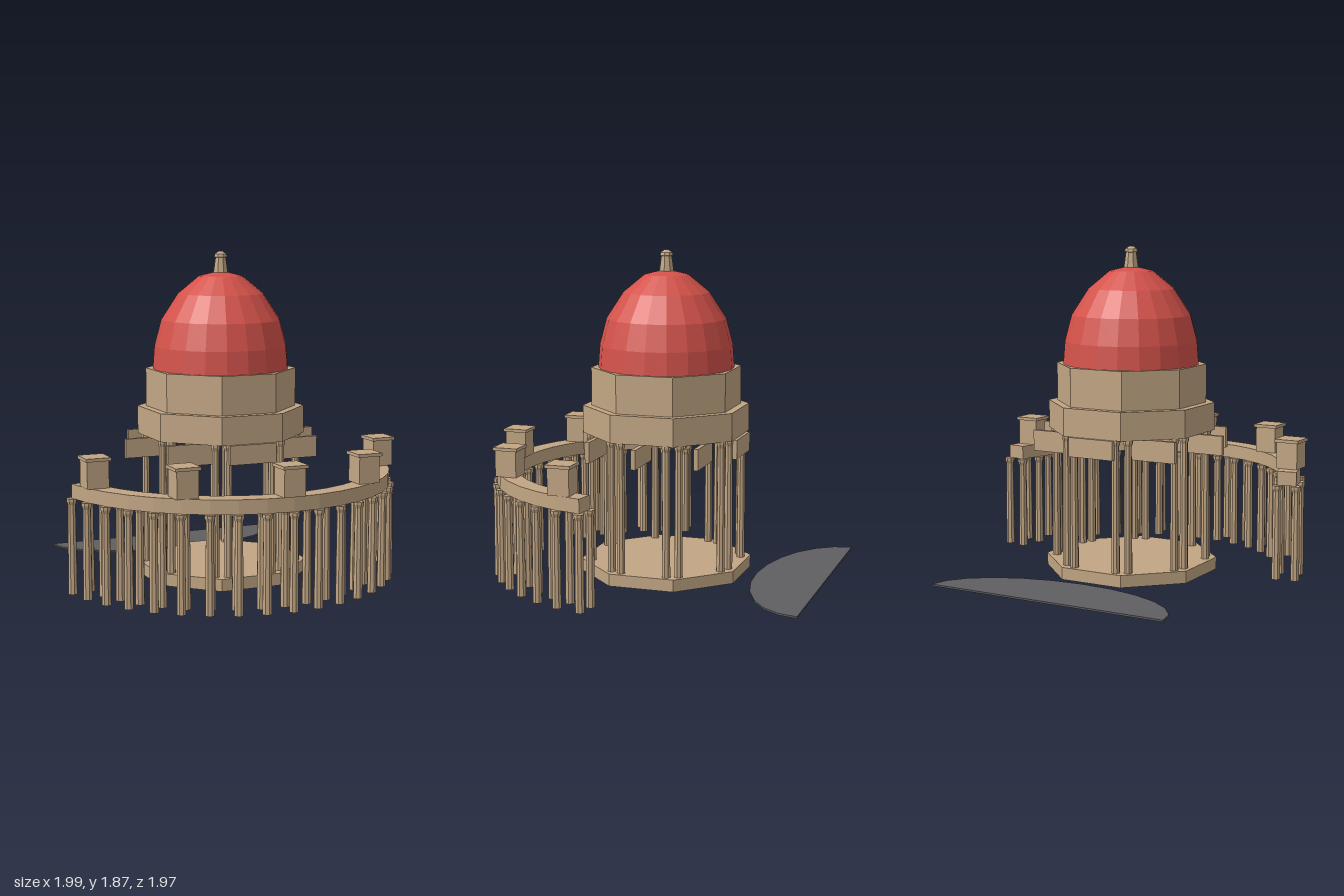
import * as THREE from 'three';

const flat = (name, color) => {
  const m = new THREE.MeshStandardMaterial({ color, flatShading: true });
  m.name = name;
  return m;
};

export function createModel() {
  const stone = flat('sandstone', 0xc2a684);
  const red = flat('domeRed', 0xd4524a);
  const water = flat('pondGrey', 0x5f5f62);

  const model = new THREE.Group();
  model.name = 'domedRotunda';
  const CZ = -0.03; // shared centre of rotunda and colonnade

  const add = (parent, name, geometry, material, x = 0, y = 0, z = 0) => {
    const mesh = new THREE.Mesh(geometry, material);
    mesh.name = name;
    mesh.position.set(x, y, z);
    parent.add(mesh);
    return mesh;
  };
  const group = (name) => {
    const g = new THREE.Group();
    g.name = name;
    g.position.z = CZ;
    model.add(g);
    return g;
  };
  const lathe = (points, sides) =>
    new THREE.LatheGeometry(points.map(([r, y]) => new THREE.Vector2(r, y)), sides);

  // Column with a tapered shaft and a flared capital
  const columnGeometry = (h, r) => lathe([
    [0, 0], [r * 1.08, 0], [r * 0.92, h - 0.035], [r * 1.22, h - 0.015], [r * 1.22, h], [0, h],
  ], 8);

  // Flat plate from a plan outline, top face at y
  const plate = (points, y, thickness) => {
    const g = new THREE.ExtrudeGeometry(new THREE.Shape(points), { depth: thickness, bevelEnabled: false });
    g.rotateX(Math.PI / 2);
    g.translate(0, y, 0);
    return g;
  };

  // Rotunda: octagonal tiers
  const rotunda = group('rotunda');
  const octagon = (name, apothem, y0, y1) => {
    const r = apothem / Math.cos(Math.PI / 8);
    const g = new THREE.CylinderGeometry(r, r, y1 - y0, 8);
    g.rotateY(Math.PI / 8);
    add(rotunda, name, g, stone, 0, (y0 + y1) / 2, 0);
  };
  octagon('base', 0.46, 0, 0.07);
  octagon('entablature', 0.445, 0.82, 0.98);
  octagon('drum', 0.4, 0.98, 1.2);

  // Paired columns at the eight corners
  const tall = columnGeometry(0.75, 0.023);
  for (let i = 0; i < 8; i++) {
    const a = Math.PI / 8 + (i * Math.PI) / 4;
    for (const s of [-0.035, 0.035]) {
      add(rotunda, 'rotundaColumn', tall, stone,
        0.435 * Math.cos(a) - s * Math.sin(a), 0.07, 0.435 * Math.sin(a) + s * Math.cos(a));
    }
  }

  // Thin hanging panels, all parallel to the front
  for (let i = 0; i < 8; i++) {
    const a = (i * Math.PI) / 4;
    const h = i % 2 ? 0.12 : 0.11;
    add(rotunda, 'hangingPanel', new THREE.BoxGeometry(0.28, h, 0.026), stone,
      0.45 * Math.cos(a), 0.82 - h / 2, 0.45 * Math.sin(a));
  }

  // Dome and finial
  add(rotunda, 'dome', lathe([
    [0, 1.2], [0.392, 1.2], [0.382, 1.33], [0.343, 1.48], [0.246, 1.63], [0.125, 1.73], [0, 1.76],
  ], 20), red);
  add(rotunda, 'finial', lathe([
    [0, 1.74], [0.044, 1.75], [0.032, 1.835], [0.04, 1.838], [0.036, 1.855], [0.012, 1.87], [0, 1.87],
  ], 8), stone);

  // Curved colonnade: two rows of columns, a beam and pedestals
  const colonnade = group('colonnade');
  const INNER = 0.87, OUTER = 0.98, BAYS = 18;
  const angle = (i) => THREE.MathUtils.degToRad(10 + (160 * i) / BAYS);
  const onArc = (r, i) => new THREE.Vector2(r * Math.cos(angle(i)), r * Math.sin(angle(i)));

  const low = columnGeometry(0.54, 0.0245);
  const outerEdge = [], innerEdge = [];
  for (let i = 0; i <= BAYS; i++) {
    outerEdge.push(onArc(OUTER, i));
    innerEdge.unshift(onArc(INNER, i));
    for (const r of [INNER, OUTER]) {
      const p = onArc(r, i);
      add(colonnade, 'colonnadeColumn', low, stone, p.x, 0, p.y);
    }
  }
  add(colonnade, 'curvedBeam', plate([...outerEdge, ...innerEdge], 0.62, 0.08), stone);

  for (let i = 1; i <= BAYS; i += 4) {
    const p = onArc(0.925, i);
    add(colonnade, 'pedestal', new THREE.BoxGeometry(0.125, 0.15, 0.125), stone, p.x, 0.695, p.y);
    add(colonnade, 'pedestalCap', new THREE.BoxGeometry(0.145, 0.018, 0.145), stone, p.x, 0.779, p.y);
  }

  // Half-oval pond behind
  const pond = [];
  for (let i = 0; i <= 12; i++) {
    const a = (i * Math.PI) / 12;
    pond.push(new THREE.Vector2(0.73 * Math.cos(a), -0.99 + 0.41 * Math.sin(a)));
  }
  add(model, 'pond', plate(pond, 0.018, 0.01), water);

  return model;
}
